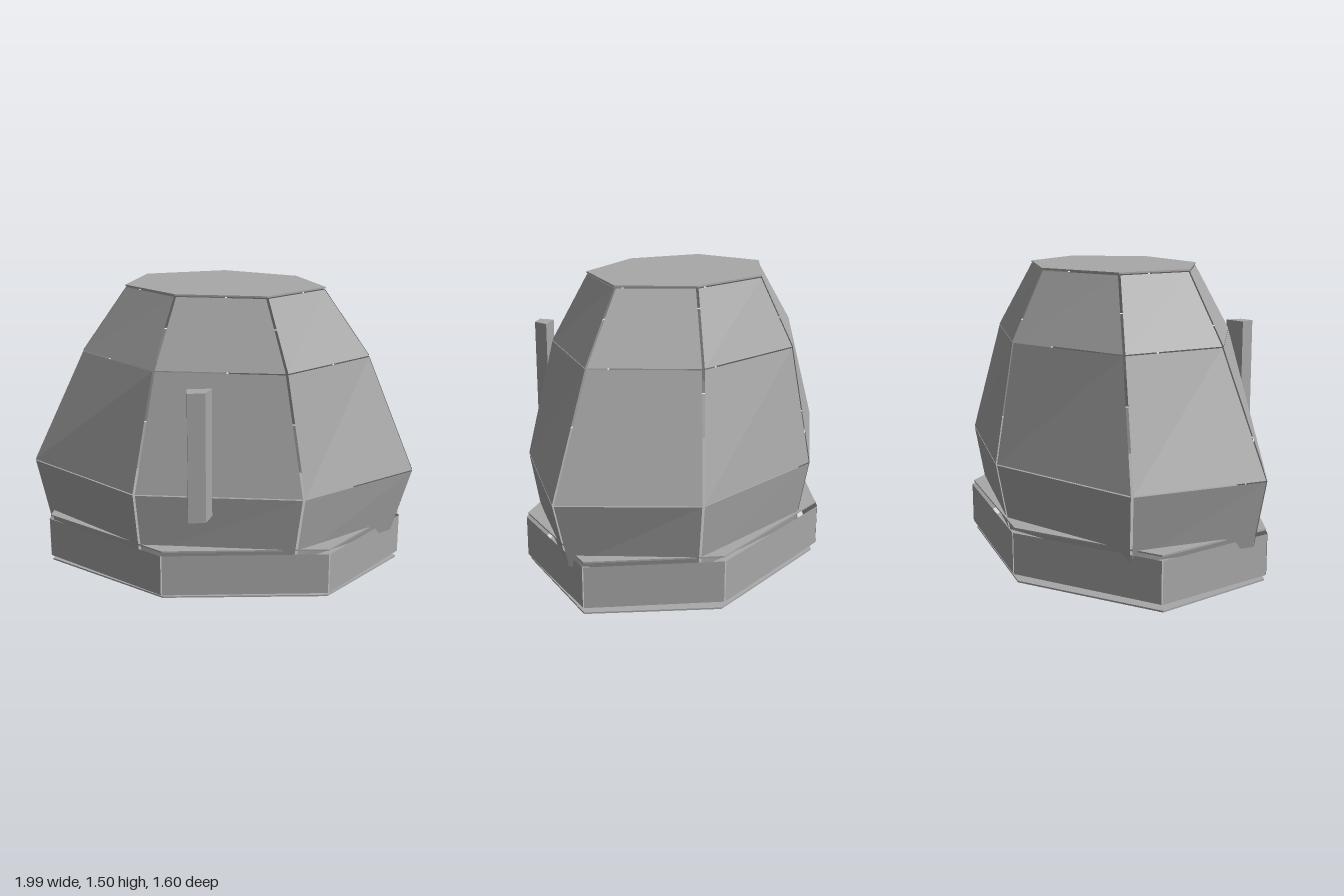
import * as THREE from 'three';

// Seven-sided cross-sections as [x, z], counter-clockwise seen from above, starting at the left side
const tiers = [
  { y: 0.22, pts: [[-0.93, 0.12], [-0.35, 0.53], [0.42, 0.5], [0.9, 0.03], [0.63, -0.53], [-0.08, -0.74], [-0.79, -0.48]] },
  { y: 0.56, pts: [[-1, 0.13], [-0.365, 0.58], [0.46, 0.54], [0.995, 0.04], [0.68, -0.57], [-0.08, -0.8], [-0.86, -0.52]] },
  { y: 1.15, pts: [[-0.73, 0.07], [-0.28, 0.455], [0.36, 0.44], [0.75, 0], [0.51, -0.48], [-0.07, -0.69], [-0.67, -0.44]] },
  { y: 1.485, pts: [[-0.5, 0.04], [-0.2, 0.295], [0.25, 0.295], [0.515, -0.02], [0.345, -0.365], [-0.06, -0.52], [-0.465, -0.335]] },
];
const basePts = [[-0.91, 0.22], [-0.23, 0.615], [0.59, 0.48], [0.945, -0.08], [0.58, -0.64], [-0.24, -0.8], [-0.925, -0.4]];

// One ring of separate wall panels between two outlines, with narrow seams at the corners
function panelRing(lower, y0, upper, y1, seam) {
  const pos = [];
  const n = lower.length;
  const edge = (pts, i, y) => {
    const a = new THREE.Vector3(pts[i][0], y, pts[i][1]);
    const j = (i + 1) % n;
    const b = new THREE.Vector3(pts[j][0], y, pts[j][1]);
    const d = b.clone().sub(a).setLength(seam);
    return [a.add(d), b.sub(d)];
  };
  for (let i = 0; i < n; i++) {
    const [a, b] = edge(lower, i, y0);
    const [d, c] = edge(upper, i, y1);
    for (const v of [a, b, c, a, c, d]) pos.push(v.x, v.y, v.z);
  }
  const g = new THREE.BufferGeometry();
  g.setAttribute('position', new THREE.Float32BufferAttribute(pos, 3));
  g.computeVertexNormals();
  return g;
}

// Horizontal slab with the given outline
function slab(pts, y, height) {
  const shape = new THREE.Shape(pts.map(([x, z]) => new THREE.Vector2(x, -z)));
  const g = new THREE.ExtrudeGeometry(shape, { depth: height, bevelEnabled: false });
  return g.rotateX(-Math.PI / 2).translate(0, y, 0);
}

export function createModel() {
  const group = new THREE.Group();
  const grey = new THREE.MeshStandardMaterial({ color: 0xa8a8a8, flatShading: true, side: THREE.DoubleSide });
  grey.name = 'plain grey';
  const add = (name, geometry) => {
    const mesh = new THREE.Mesh(geometry, grey);
    mesh.name = name;
    group.add(mesh);
    return mesh;
  };

  // Dome walls in three tiers
  ['skirtPanels', 'wallPanels', 'shoulderPanels'].forEach((name, i) => {
    const lo = tiers[i], hi = tiers[i + 1];
    add(name, panelRing(lo.pts, lo.y + (i ? 0.003 : 0), hi.pts, hi.y - 0.003, 0.007));
  });

  // Flat roof
  add('roofPlate', slab(tiers[3].pts, 1.487, 0.008));

  // Base: wall ring, deck above it and a slightly tilted floor below
  add('baseWall', panelRing(basePts, 0.05, basePts, 0.26, 0.004));
  add('deckPlate', slab(basePts.map(([x, z]) => [x * 0.99, z * 0.985]), 0.275, 0.008));
  const floor = slab(basePts.map(([x, z]) => [x * 0.99, z * 0.97]), 0, 0.008);
  const p = floor.attributes.position;
  for (let i = 0; i < p.count; i++) p.setY(i, p.getY(i) + 0.0155 + 0.02 * p.getZ(i));
  floor.computeVertexNormals();
  add('floorPlate', floor);

  // Free-standing post in front of the wall
  add('frontPost', slab([[-0.075, 0.72], [-0.06, 0.8], [0.02, 0.78], [0.037, 0.695]], 0.52, 0.62));

  return group;
}
